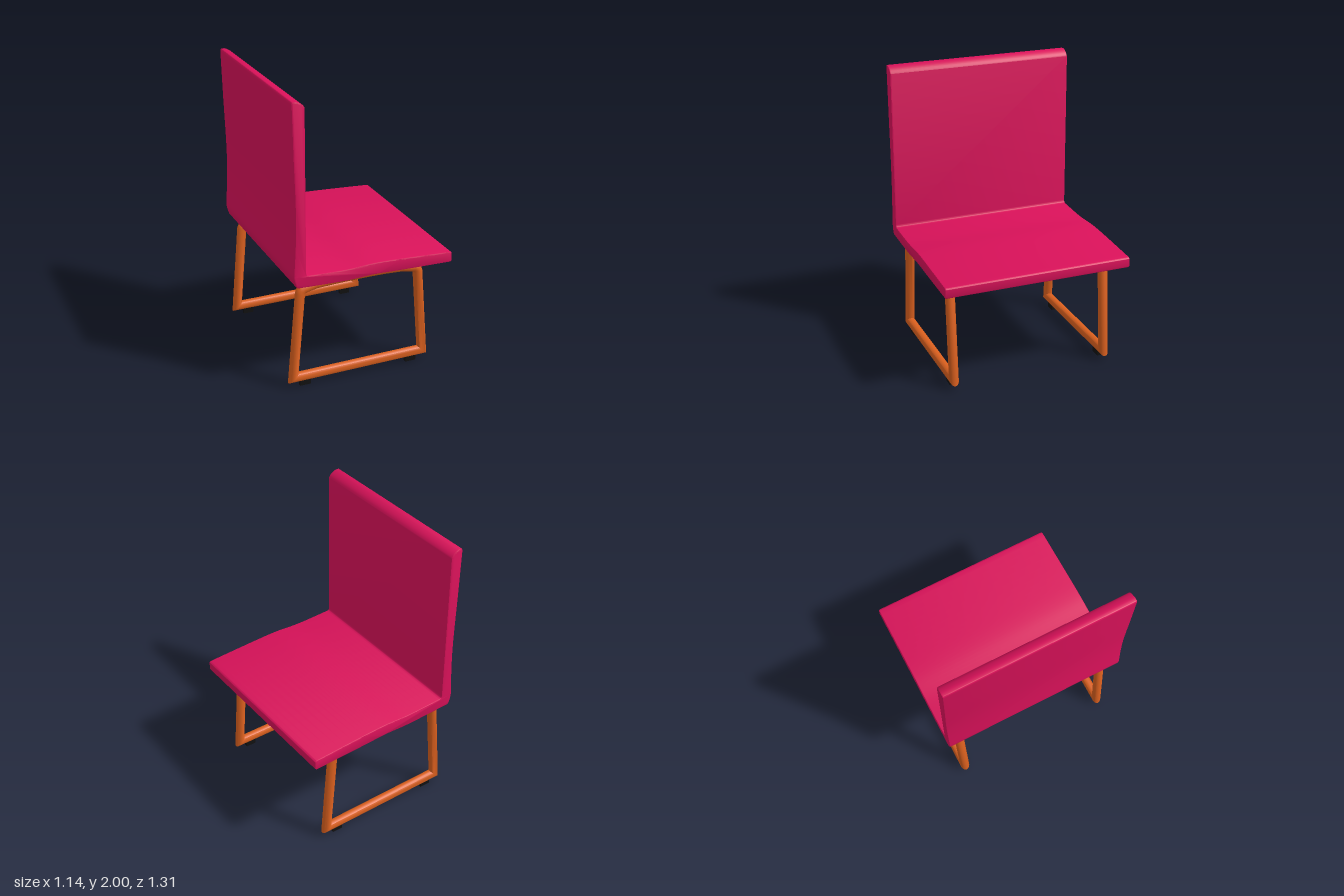
import * as THREE from 'three';
import { toCreasedNormals } from 'three/addons/utils/BufferGeometryUtils.js';

const pink = new THREE.MeshStandardMaterial({ color: 0xd81159 });
const orange = new THREE.MeshStandardMaterial({ color: 0xd95f1e });
const black = new THREE.MeshStandardMaterial({ color: 0x111111 });

const vectors = (list) => list.map(([x, y]) => new THREE.Vector2(x, y));

// One-piece seat and backrest: an L-shaped side profile extruded across the width
function makeShell() {
  const shape = new THREE.Shape();
  shape.moveTo(-0.53, 0.768);
  shape.splineThru(vectors([[-0.2, 0.757], [0, 0.763], [0.2, 0.756], [0.555, 0.746]]));
  shape.quadraticCurveTo(0.57, 0.746, 0.57, 0.76);
  shape.lineTo(0.57, 0.808);
  shape.quadraticCurveTo(0.57, 0.818, 0.55, 0.82);
  shape.splineThru(vectors([[0.2, 0.839], [0, 0.845], [-0.2, 0.836], [-0.455, 0.845]]));
  shape.quadraticCurveTo(-0.473, 0.846, -0.473, 0.865);
  shape.lineTo(-0.473, 1.955);
  shape.quadraticCurveTo(-0.485, 1.985, -0.53, 2);
  shape.lineTo(-0.55, 2);
  shape.quadraticCurveTo(-0.56, 2, -0.56, 1.98);
  shape.splineThru(vectors([[-0.552, 1.65], [-0.542, 1.3], [-0.545, 1.08], [-0.558, 0.86]]));
  shape.quadraticCurveTo(-0.56, 0.83, -0.54, 0.775);
  shape.closePath();

  const bevel = 0.008, width = 1.31;
  const geometry = new THREE.ExtrudeGeometry(shape, {
    depth: width - 2 * bevel, bevelEnabled: true, bevelThickness: bevel,
    bevelSize: bevel, bevelOffset: -bevel, bevelSegments: 2, curveSegments: 6,
  });
  geometry.translate(0, 0, -width / 2 + bevel);
  return toCreasedNormals(geometry, 0.6);
}

// Round bar swept along a closed path in the xy plane, with mitred corners
function sweepLoop(path, radius, sides = 16) {
  const positions = [], index = [], n = path.length;
  path.forEach((p, i) => {
    const before = p.clone().sub(path[(i + n - 1) % n]).normalize();
    const after = path[(i + 1) % n].clone().sub(p).normalize();
    const normal = new THREE.Vector2(before.y + after.y, -before.x - after.x).normalize();
    const stretch = 1 / (normal.x * after.y - normal.y * after.x);
    for (let j = 0; j < sides; j++) {
      const a = (j / sides) * Math.PI * 2;
      const out = Math.cos(a) * radius * stretch;
      positions.push(p.x + normal.x * out, p.y + normal.y * out, Math.sin(a) * radius);
      const k = (j + 1) % sides, next = ((i + 1) % n) * sides;
      const A = i * sides + j, B = i * sides + k, C = next + k, D = next + j;
      index.push(A, C, B, A, D, C);
    }
  });
  const geometry = new THREE.BufferGeometry();
  geometry.setAttribute('position', new THREE.Float32BufferAttribute(positions, 3));
  geometry.setIndex(index);
  return toCreasedNormals(geometry, 0.9);
}

export function createModel() {
  const model = new THREE.Group();
  model.name = 'chair';

  const add = (parent, name, geometry, material, x = 0, y = 0, z = 0) => {
    const mesh = new THREE.Mesh(geometry, material);
    mesh.name = name;
    mesh.position.set(x, y, z);
    parent.add(mesh);
  };

  add(model, 'seatAndBackrest', makeShell(), pink);

  // Sled leg outline, counter-clockwise from the lower rear corner
  const frame = sweepLoop(vectors([
    [-0.535, 0.068], [0.415, 0.068],
    [0.367, 0.675], [0.36, 0.695], [0.342, 0.71], [0.25, 0.729], [0.12, 0.736],
    [0, 0.738], [-0.2, 0.736], [-0.37, 0.729], [-0.457, 0.71], [-0.473, 0.698], [-0.48, 0.68],
  ]), 0.033);
  const foot = new THREE.BoxGeometry(0.075, 0.05, 0.028);

  // A leg frame with two floor pads on each side
  for (const side of [1, -1]) {
    const leg = new THREE.Group();
    leg.name = side > 0 ? 'frontSledLeg' : 'backSledLeg';
    leg.position.z = side * 0.555;
    add(leg, 'legFrame', frame, orange);
    for (const x of [-0.452, 0.328]) add(leg, 'footPad', foot, black, x, 0.025, -side * 0.003);
    model.add(leg);
  }
  return model;
}
